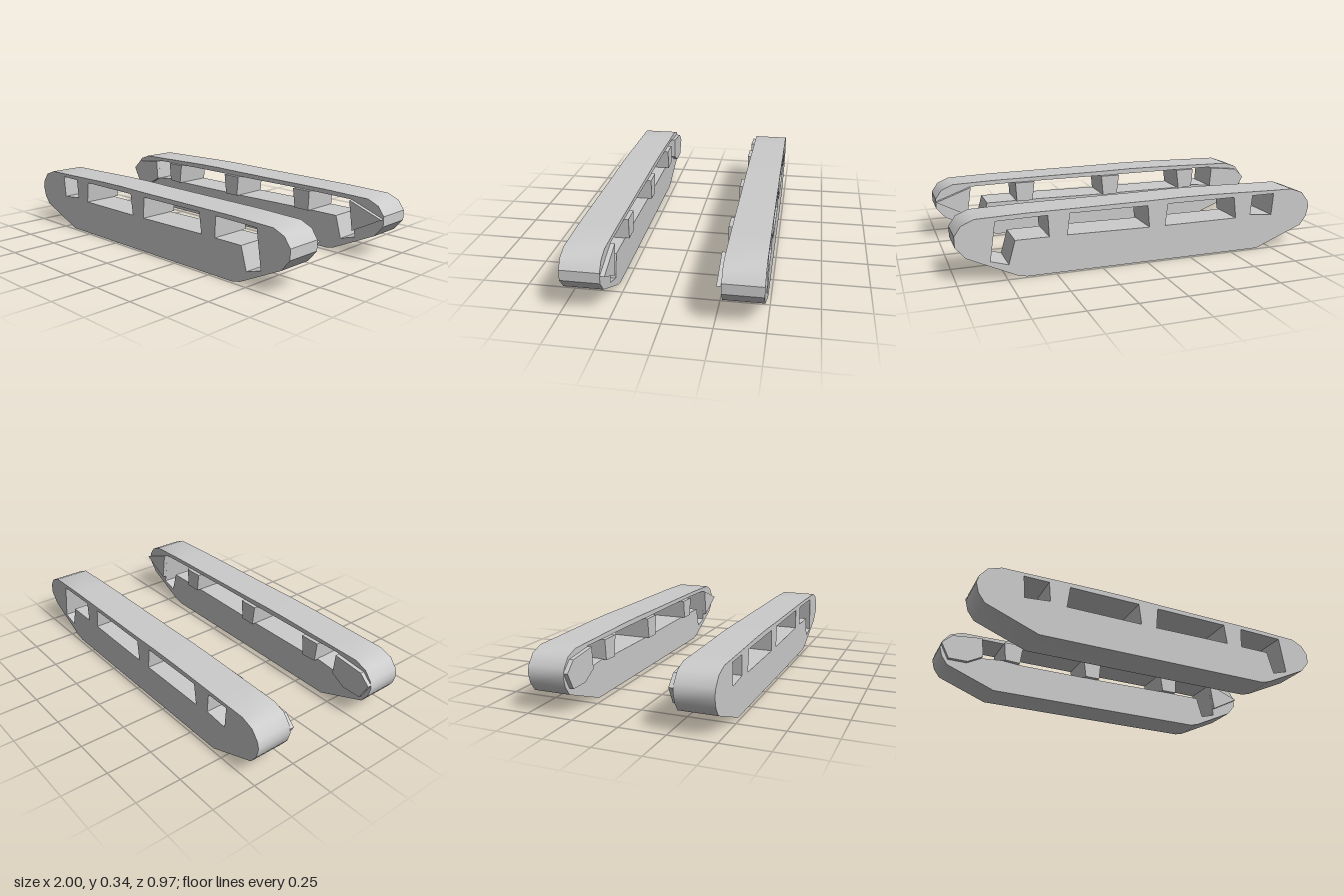
import * as THREE from 'three';
import { toCreasedNormals } from 'three/addons/utils/BufferGeometryUtils.js';

const INNER = 0.285, OUTER = 0.485, PAD = 0.262;
const material = new THREE.MeshStandardMaterial({ color: 0xcccccc });
const points = (list) => list.map(([x, y]) => new THREE.Vector2(x, y));

// Side profile of one track
const outline = [
  [-0.67, 0], [0.65, 0], [0.7, 0.012], [0.95, 0.13], [1, 0.19], [1, 0.245], [0.965, 0.295],
  [0.9, 0.323], [0.65, 0.33], [0, 0.334], [-0.2, 0.337], [-0.37, 0.336], [-0.72, 0.328],
  [-0.88, 0.325], [-0.95, 0.3], [-0.99, 0.25], [-1, 0.21], [-0.985, 0.155], [-0.95, 0.108],
];

// Openings through the track
const openings = [
  [[-0.765, 0.308], [-0.63, 0.308], [-0.62, 0.2], [-0.755, 0.187]],
  [[-0.515, 0.308], [-0.12, 0.308], [-0.105, 0.19], [-0.53, 0.19]],
  [[-0.005, 0.308], [0.42, 0.308], [0.435, 0.196], [-0.015, 0.19]],
  [[0.535, 0.308], [0.8, 0.303], [0.83, 0.1], [0.74, 0.073], [0.705, 0.196], [0.53, 0.196]],
];

// Raised pads on the inner face: end plates and the struts between openings
const pads = {
  rearEndPlate: [[-0.765, 0.305], [-0.94, 0.285], [-0.998, 0.23], [-0.95, 0.14], [-0.84, 0.14], [-0.755, 0.187]],
  frontEndPlate: [[0.8, 0.303], [0.825, 0.138], [1, 0.23]],
  rearStrut: [[-0.63, 0.308], [-0.62, 0.196], [-0.53, 0.19], [-0.515, 0.308]],
  middleStrut: [[-0.12, 0.308], [-0.105, 0.19], [-0.015, 0.19], [-0.005, 0.308]],
  frontStrut: [[0.42, 0.308], [0.435, 0.196], [0.53, 0.196], [0.535, 0.308]],
};

// Slab of a side profile between two distances from the centre line
function slab(name, profile, holes, near, far, side) {
  const shape = new THREE.Shape(points(profile));
  shape.holes = holes.map((h) => new THREE.Path(points(h)));
  const geometry = new THREE.ExtrudeGeometry(shape, { depth: far - near, bevelEnabled: false });
  geometry.translate(0, 0, side > 0 ? near : -far);
  const mesh = new THREE.Mesh(toCreasedNormals(geometry, 0.6), material);
  mesh.name = name;
  return mesh;
}

export function createModel() {
  const model = new THREE.Group();
  model.name = 'trackPair';
  for (const side of [1, -1]) {
    const track = new THREE.Group();
    track.name = side > 0 ? 'nearTrack' : 'farTrack';
    track.add(slab('trackBody', outline, openings, INNER, OUTER, side));
    for (const [name, profile] of Object.entries(pads)) {
      track.add(slab(name, profile, [], PAD, INNER, side));
    }
    model.add(track);
  }
  return model;
}
